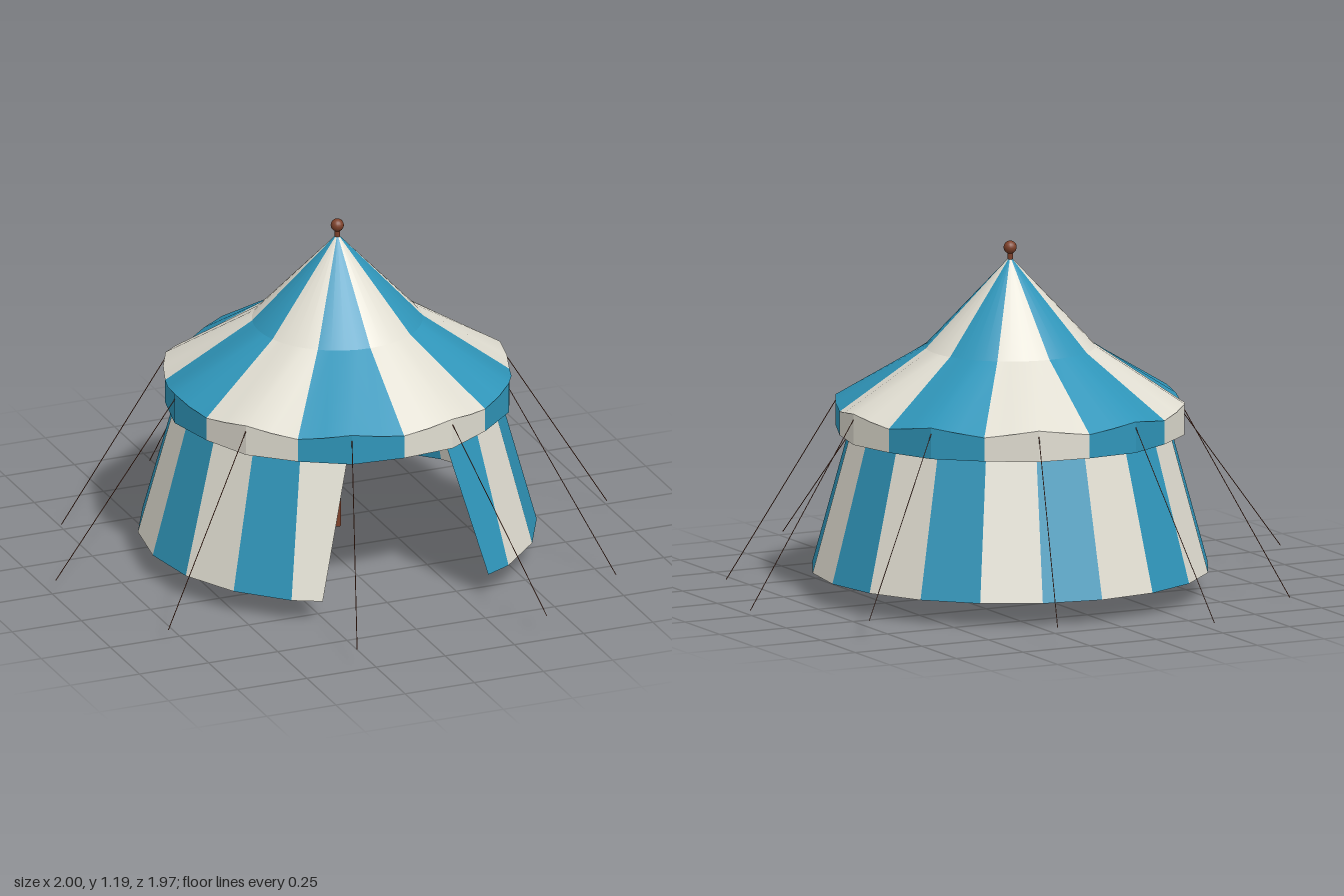
import * as THREE from 'three';

const CX = 0.03; // the tent sits slightly off centre because of the uneven ropes
const DEG = Math.PI / 180;

// Point at angle a (degrees, 0 = front, 90 = +x) with radius r and height y
const polar = (a, r, y) => [Math.sin(a * DEG) * r, y, Math.cos(a * DEG) * r];

// Strip of quads between a lower and an upper ring; colour(i) picks a material per quad
function band(angles, lower, upper, colour, { closed = true, smooth = false } = {}) {
  const pos = [], index = [], n = angles.length;
  let geo = new THREE.BufferGeometry();
  angles.forEach((a, i) => pos.push(...lower(a, i), ...upper(a, i)));
  for (let i = 0; i < (closed ? n : n - 1); i++) {
    const a = 2 * i, b = 2 * ((i + 1) % n);
    geo.addGroup(index.length, 6, colour(i));
    index.push(a, b, b + 1, a, b + 1, a + 1);
  }
  geo.setAttribute('position', new THREE.Float32BufferAttribute(pos, 3));
  geo.setIndex(index);
  if (!smooth) geo = geo.toNonIndexed();
  geo.computeVertexNormals();
  return geo;
}

export function createModel() {
  const model = new THREE.Group();
  const tent = new THREE.Group();
  tent.name = 'tent';
  tent.position.x = CX;
  model.add(tent);

  const mat = (name, color) => {
    const m = new THREE.MeshStandardMaterial({ color, side: THREE.DoubleSide });
    m.name = name;
    return m;
  };
  const white = mat('cream canvas', 0xe0ddd1);
  const blue = mat('blue canvas', 0x2f95b9);
  const brown = mat('brown wood', 0x7c4029);
  const canvas = [white, blue];

  const add = (name, geo, material, x = 0, y = 0, z = 0) => {
    const m = new THREE.Mesh(geo, material);
    m.name = name;
    m.position.set(x, y, z);
    tent.add(m);
    return m;
  };

  // Eave: ten ridge corners with slightly sagging points between them
  const eave = a => {
    const t = Math.abs((((a % 36) + 36) % 36) - 18) / 18; // 0 at ridge, 1 at sag
    const r = 0.588 + (0.576 - 0.588) * t;
    return polar(a, r, 0.65 - 0.025 * t);
  };
  const steps = n => Array.from({ length: n }, (_, i) => i * 360 / n);

  // Roof: steep cone above a flatter skirt, ten stripes
  const knee = a => polar(a, 0.285, 0.83);
  const stripe40 = i => Math.floor(i / 4) % 2;
  add('roofTop', band(steps(40), knee, a => polar(a, 0.004, 1.13), stripe40, { smooth: true }), canvas);
  add('roofSkirt', band(steps(40), eave, knee, stripe40, { smooth: true }), canvas);

  // Valance hanging from the eave, striped like the roof
  const hem = a => {
    const p = eave(a);
    return [p[0], 0.545, p[2]];
  };
  add('valance', band(steps(20), hem, eave, i => Math.floor(i / 2) % 2), canvas);

  // Wall: twenty-sided with the front panels drawn back at the bottom
  const wallAngles = Array.from({ length: 19 }, (_, i) => 18 * (i + 1));
  const wallFoot = (a, i) => {
    if (i === 0) return polar(27, 0.659, 0.08);
    if (i === 18) return polar(-27, 0.659, 0.08);
    return polar(a, 0.667, 0.08);
  };
  add('wall', band(wallAngles, wallFoot, a => polar(a, 0.525, 0.6), i => (i + 1) % 2, { closed: false }), canvas);

  // Ceiling inside the roof
  const ceiling = new THREE.CircleGeometry(0.525, 20);
  ceiling.rotateX(Math.PI / 2);
  add('ceiling', ceiling, brown, 0, 0.6, 0);

  // Centre pole and finial
  add('pole', new THREE.CylinderGeometry(0.012, 0.012, 1.02, 12), brown, 0, 0.59, 0);
  add('finialNeck', new THREE.CylinderGeometry(0.009, 0.009, 0.07, 12), brown, 0, 1.125, 0);
  add('finialBall', new THREE.SphereGeometry(0.022, 16, 12), brown, 0, 1.165, 0);

  // Guy ropes from each ridge corner to uneven ground pegs [x, y, z]
  const pegs = [
    [0.38, 0.07, 0.97], [0.79, 0.005, 0.59], [1, 0.015, 0.01], [0.87, 0.07, -0.6], [0.365, 0.07, -0.99],
    [-0.27, 0.015, -0.9], [-0.74, 0, -0.54], [-1, 0.06, 0.03], [-0.82, 0.06, 0.57], [-0.31, 0.065, 0.98],
  ];
  pegs.forEach(([x, y, z], i) => {
    const top = new THREE.Vector3(...polar(18 + 36 * i, 0.588, 0.63));
    const foot = new THREE.Vector3(x - CX, y, z);
    const rope = new THREE.LineCurve3(top, foot);
    add('guyRope' + (i + 1), new THREE.TubeGeometry(rope, 1, 0.0015, 5), brown);
  });

  return model;
}
